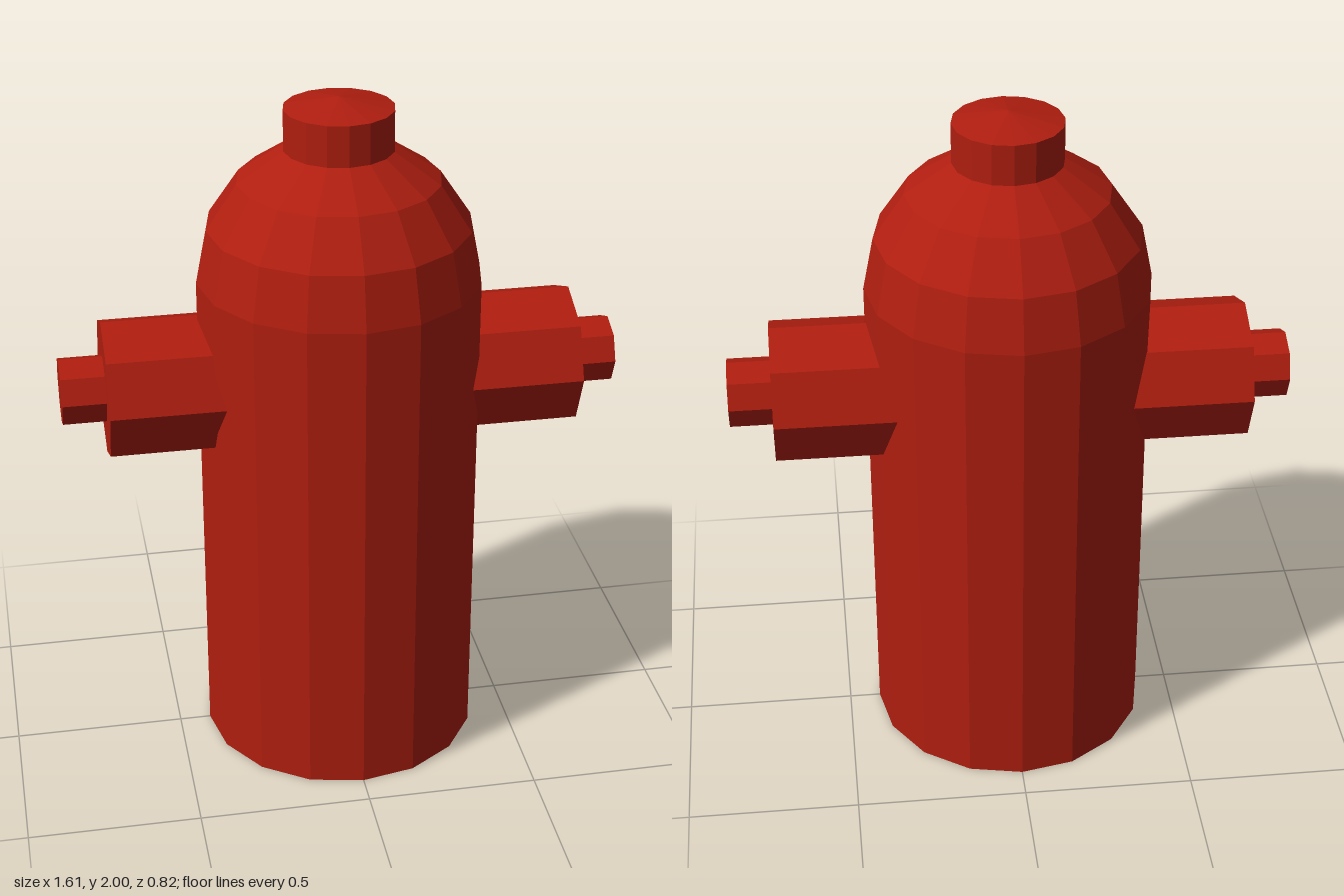
import * as THREE from 'three';

const paint = new THREE.MeshStandardMaterial({ color: 0xb01e10, flatShading: true });
const shellPaint = paint.clone();
shellPaint.side = THREE.DoubleSide; // the barrel is open underneath

function addMesh(parent, name, geometry, material = paint) {
  const mesh = new THREE.Mesh(geometry, material);
  mesh.name = name;
  parent.add(mesh);
  return mesh;
}

// Octagonal cylinder lying along x, from x0 to x1
function sideways(radius, x0, x1) {
  return new THREE.CylinderGeometry(radius, radius, x1 - x0, 8)
    .rotateZ(-Math.PI / 2)
    .translate((x0 + x1) / 2, 0, 0);
}

export function createModel() {
  const model = new THREE.Group();
  model.name = 'fireHydrant';
  const R = 0.408, sides = 16, shoulderY = 1.475;

  // Straight barrel running into a faceted quarter-round dome
  const profile = [new THREE.Vector2(R, 0)];
  for (let i = 0; i <= 3; i++) {
    const a = (i * Math.PI) / 8;
    profile.push(new THREE.Vector2(R * Math.cos(a), shoulderY + R * Math.sin(a)));
  }
  addMesh(model, 'barrelAndDome', new THREE.LatheGeometry(profile, sides), shellPaint);

  // Top cap with a shallow cone
  const cap = [[0.156, 1.85], [0.156, 1.97], [0, 2]].map(([r, y]) => new THREE.Vector2(r, y));
  addMesh(model, 'topCap', new THREE.LatheGeometry(cap, sides), shellPaint);

  // Hose outlets on both sides, each with a smaller nut
  for (const [side, name] of [[1, 'leftOutlet'], [-1, 'rightOutlet']]) {
    const outlet = new THREE.Group();
    outlet.name = name;
    addMesh(outlet, 'nozzle', sideways(0.206, 0.3, 0.68));
    addMesh(outlet, 'nut', sideways(0.1, 0.66, 0.805));
    if (side < 0) outlet.rotation.y = Math.PI;
    outlet.position.set(0, 1.165, -0.014);
    model.add(outlet);
  }
  return model;
}
